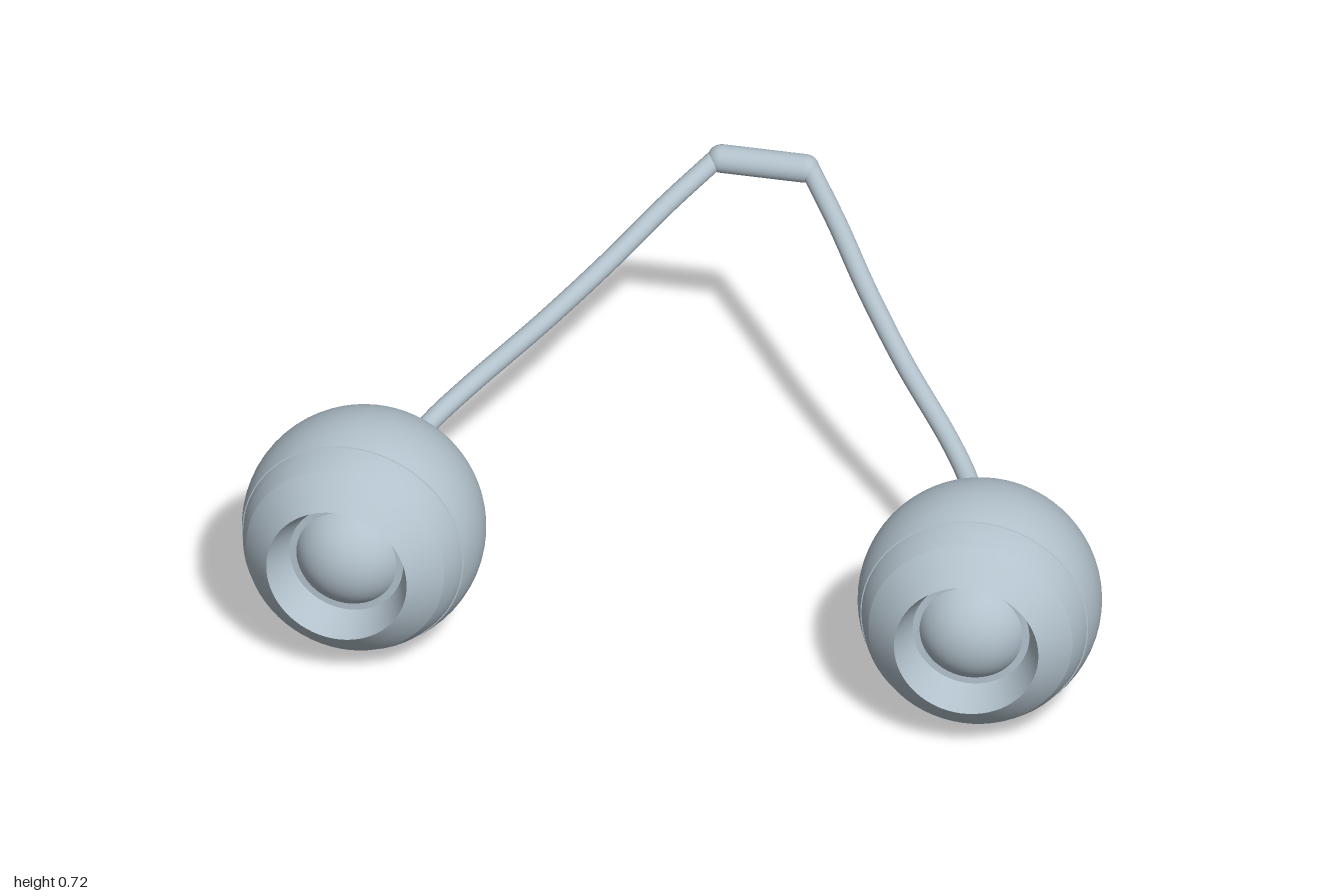
import * as THREE from 'three';

const shellMaterial = new THREE.MeshStandardMaterial({ color: 0xb2c1cb });
shellMaterial.name = 'pale blue grey';

const V = (x, y, z) => new THREE.Vector3(x, y, z);

function add(parent, name, geometry) {
  const mesh = new THREE.Mesh(geometry, shellMaterial);
  mesh.name = name;
  parent.add(mesh);
  return mesh;
}

// Points on a circular arc as [radius, height along the axis]
function arc(r, from, to, steps, centre = 0) {
  const points = [];
  for (let i = 0; i <= steps; i++) {
    const a = from + (to - from) * i / steps;
    points.push([Math.max(0, r * Math.cos(a)), centre + r * Math.sin(a)]);
  }
  return points;
}

// Surface of revolution around +y
function turned(parent, name, points) {
  add(parent, name, new THREE.LatheGeometry(points.map(p => new THREE.Vector2(...p)), 64));
}

function createEye(side) {
  const eye = new THREE.Group();
  eye.name = side > 0 ? 'leftEye' : 'rightEye';
  const R = 0.28;
  const seam = 0.095;

  // Ball, stopping at the seam of the front ring
  turned(eye, 'ball', arc(R, -Math.PI / 2, Math.asin(seam / R), 40));
  const edge = Math.sqrt(R * R - seam * seam);

  // Stepped front ring: each section has its own sharp edges
  turned(eye, 'seamStep', [[edge, seam], [edge - 0.003, seam + 0.001]]);
  turned(eye, 'ringBand', [[edge - 0.003, seam + 0.001], [0.252, 0.129], [0.236, 0.161]]);
  turned(eye, 'ringBevel', [[0.236, 0.161], [0.205, 0.198], [0.167, 0.234]]);

  // Recessed socket and the domed pupil inside it
  turned(eye, 'socketWall', [[0.167, 0.234], [0.135, 0.15]]);
  turned(eye, 'socketFloor', [[0.135, 0.15], [0.1, 0.15]]);
  const pupilRadius = 0.136;
  const start = Math.acos(0.119 / pupilRadius);
  turned(eye, 'pupil', arc(pupilRadius, start, Math.PI / 2, 16, 0.15 - pupilRadius * Math.sin(start)));

  // Aim slightly up and outward
  eye.position.set(side * 0.72, 0.283, 0.41);
  eye.quaternion.setFromUnitVectors(V(0, 1, 0), V(side * 0.07, 0.075, 1).normalize());
  return eye;
}

// Curved stalk from the bridge to the back of an eye
function createStalk(side) {
  const curve = new THREE.CatmullRomCurve3([
    V(0.11, 0.69, -0.622), V(0.2, 0.637, -0.495), V(0.3, 0.57, -0.345),
    V(0.42, 0.493, -0.185), V(0.56, 0.405, -0.025), V(0.625, 0.37, 0.075), V(0.66, 0.355, 0.17),
  ].map(p => p.setX(p.x * side)));
  return new THREE.TubeGeometry(curve, 56, 0.023, 20, false);
}

export function createModel() {
  const model = new THREE.Group();
  model.name = 'eyeStalks';
  for (const side of [-1, 1]) {
    model.add(createEye(side));
    add(model, side > 0 ? 'leftStalk' : 'rightStalk', createStalk(side));
  }

  // Bridge joining the two stalks
  const bridge = add(model, 'bridge', new THREE.CapsuleGeometry(0.033, 0.195, 10, 28));
  bridge.rotation.z = Math.PI / 2;
  bridge.position.set(0, 0.692, -0.622);
  return model;
}
